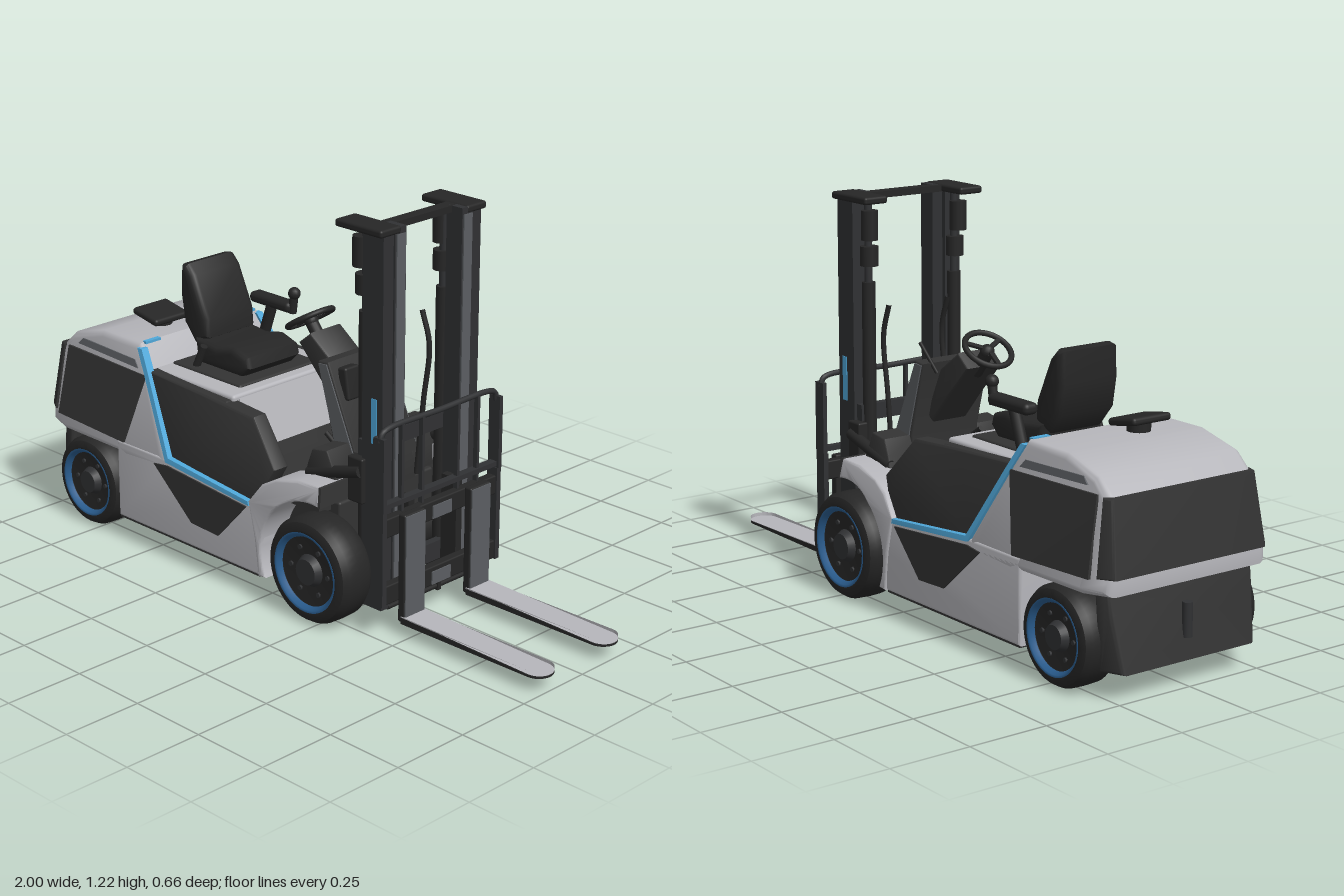
import * as THREE from 'three';
import { toCreasedNormals } from 'three/addons/utils/BufferGeometryUtils.js';
import { RoundedBoxGeometry } from 'three/addons/geometries/RoundedBoxGeometry.js';

const mat = (name, color) => {
  const m = new THREE.MeshStandardMaterial({ color });
  m.name = name;
  return m;
};

export function createModel() {
  const root = new THREE.Group();
  root.name = 'forklift';
  const paint = mat('light grey paint', 0xb6b6bb);
  const panel = mat('dark panel', 0x333333);
  const black = mat('black', 0x262626);
  const mastGrey = mat('mast grey', 0x303133);
  const trim = mat('blue trim', 0x4fa8da);
  const rimBlue = mat('blue rim ring', 0x2b5f92);
  rimBlue.side = THREE.DoubleSide;
  const midGrey = mat('mid grey', 0x5b5e62);

  const add = (name, geo, m, x = 0, y = 0, z = 0, parent = root) => {
    const mesh = new THREE.Mesh(geo, m);
    mesh.name = name;
    mesh.position.set(x, y, z);
    parent.add(mesh);
    return mesh;
  };
  // Box given by its limits in x, y and z
  const box = (name, m, x0, x1, y0, y1, z0, z1, r = 0) => {
    const s = [x1 - x0, y1 - y0, z1 - z0];
    const geo = r ? new RoundedBoxGeometry(...s, 3, r) : new THREE.BoxGeometry(...s);
    return add(name, geo, m, (x0 + x1) / 2, (y0 + y1) / 2, (z0 + z1) / 2);
  };
  const rod = (name, m, a, b, r) => {
    const p = new THREE.Vector3(...a), q = new THREE.Vector3(...b);
    const mesh = add(name, new THREE.CylinderGeometry(r, r, p.distanceTo(q), 14), m);
    mesh.position.copy(p).add(q).multiplyScalar(0.5);
    mesh.quaternion.setFromUnitVectors(new THREE.Vector3(0, 1, 0), q.sub(p).normalize());
  };
  const tube = (name, m, pts, r, n = 32) => add(name, new THREE.TubeGeometry(
    new THREE.CatmullRomCurve3(pts.map(p => new THREE.Vector3(...p)), false, 'centripetal'), n, r, 8), m);
  const outline = pts => new THREE.Shape(pts.map(p => new THREE.Vector2(...p)));

  // Body width narrows above the waist and round the rear corners
  const narrow = (x, y) => {
    const rear = Math.max(0, (-0.9 - x) / 0.1);
    return (1 - Math.max(0, y - 0.33) * 0.62) * (1 - 0.13 * rear * rear);
  };
  // Side outline extruded across z, with rounded edges inside the given limits
  const slab = (name, m, shape, z0, z1, bevel = 0, tapered = true) => {
    let geo = new THREE.ExtrudeGeometry(Array.isArray(shape) ? outline(shape) : shape, {
      depth: z1 - z0 - 2 * bevel, bevelEnabled: bevel > 0, bevelSize: bevel,
      bevelThickness: bevel, bevelOffset: -bevel, bevelSegments: 4, curveSegments: 24,
    });
    geo.translate(0, 0, z0 + bevel);
    const p = geo.attributes.position;
    if (tapered) for (let i = 0; i < p.count; i++) p.setZ(i, p.getZ(i) * narrow(p.getX(i), p.getY(i)));
    geo = toCreasedNormals(geo, 0.65);
    return add(name, geo, m);
  };
  const bothSides = (name, m, shape, zIn, zOut, bevel = 0) => {
    slab(name + 'Left', m, shape, zIn, zOut, bevel);
    slab(name + 'Right', m, shape, -zOut, -zIn, bevel);
  };

  // Counterweight, its dark panels and the lower body
  slab('counterweight', paint, [[-0.988, 0.3], [-0.992, 0.34], [-0.957, 0.56], [-0.9, 0.612], [-0.765, 0.65],
    [-0.59, 0.65], [-0.545, 0.58], [-0.402, 0.33], [-0.42, 0.29], [-0.6, 0.28], [-0.64, 0.295], [-0.9, 0.297]],
    -0.31, 0.31, 0.02);
  slab('rearPanel', panel, [[-1, 0.35], [-0.966, 0.565], [-0.935, 0.565], [-0.953, 0.35]], -0.316, 0.316, 0.006);
  bothSides('rearSidePanel', panel, [[-0.93, 0.345], [-0.915, 0.568], [-0.54, 0.56], [-0.605, 0.335]], 0.305, 0.3145);
  bothSides('topStrip', midGrey, [[-0.87, 0.585], [-0.85, 0.605], [-0.6, 0.598], [-0.58, 0.575]], 0.305, 0.3135);
  slab('lowerBody', paint, [[-0.64, 0.078], [0.005, 0.078], [0.02, 0.2], [0.02, 0.29], [-0.035, 0.302],
    [-0.4, 0.336], [-0.64, 0.335]], -0.31, 0.31, 0.01);
  box('underside', panel, -0.637, 0.002, 0.073, 0.082, -0.305, 0.305);
  slab('rearChassis', panel, [[-0.98, 0.078], [-0.6, 0.078], [-0.6, 0.31], [-0.94, 0.31], [-0.955, 0.26]],
    -0.18, 0.18, 0.01, false);
  slab('rearBumper', panel, [[-1, 0.078], [-0.93, 0.078], [-0.91, 0.305], [-0.955, 0.305], [-0.968, 0.24]],
    -0.27, 0.27, 0.01);
  rod('towPin', mastGrey, [-0.985, 0.14, 0], [-0.985, 0.24, 0], 0.015);

  // Recessed hood and footwell sides, edged by a blue ledge
  slab('hood', panel, [[-0.56, 0.572], [-0.2, 0.562], [-0.13, 0.35], [-0.2, 0.31], [-0.39, 0.315]], -0.29, 0.29, 0.012);
  bothSides('footwellSide', panel, [[-0.57, 0.575], [-0.3, 0.565], [-0.07, 0.55], [0.045, 0.42], [0.02, 0.37],
    [-0.03, 0.29], [-0.395, 0.31]], 0.235, 0.299, 0.008);
  bothSides('lowerPanel', panel, [[-0.46, 0.308], [-0.4, 0.316], [-0.045, 0.288], [-0.17, 0.155], [-0.29, 0.16]],
    0.306, 0.315);
  bothSides('blueStripe', trim, [[-0.592, 0.637], [-0.571, 0.637], [-0.52, 0.555], [-0.394, 0.342], [-0.035, 0.309],
    [-0.033, 0.295], [-0.405, 0.327], [-0.545, 0.562]], 0.285, 0.316);
  for (const s of [-1, 1]) add('blueStripeTop', new THREE.BoxGeometry(0.016, 0.008, 0.06), trim, -0.587, 0.649, s * 0.2);
  box('hoodCover', paint, -0.56, -0.19, 0.55, 0.575, -0.225, 0.225, 0.01);
  box('seatPlate', panel, -0.54, -0.23, 0.56, 0.582, -0.17, 0.16, 0.008);
  const front = box('hoodFront', paint, -0.18, -0.165, 0.4, 0.565, -0.2, 0.2);
  front.rotation.z = 0.3;
  box('floor', panel, -0.16, 0.2, 0.32, 0.36, -0.25, 0.25);

  // Front fenders with round wheel arches and dark front caps
  const fender = outline([[0.005, 0.078], [-0.01, 0.2], [-0.035, 0.31], [0.015, 0.375], [0.07, 0.405],
    [0.16, 0.427], [0.25, 0.43], [0.255, 0.375]]);
  fender.absarc(0.22, 0.17, 0.203, 1.4, Math.PI + 0.45, false);
  bothSides('fender', paint, fender, 0.2, 0.316, 0.008);
  bothSides('fenderCap', panel, [[0.246, 0.431], [0.256, 0.431], [0.262, 0.372], [0.252, 0.372]], 0.2, 0.316);
  box('frontChassis', panel, 0, 0.235, 0.076, 0.35, -0.2, 0.2, 0.008);

  // Cowl, dashboard and steering
  slab('cowl', panel, [[0.07, 0.73], [0.11, 0.735], [0.24, 0.44], [0.235, 0.34], [0.12, 0.34], [0.13, 0.5]],
    -0.125, 0.125, 0.006, false);
  for (const s of [-1, 1]) {
    const a = s * 0.16, e = s * 0.125;
    slab('cowlEdge', midGrey, [[0.075, 0.725], [0.107, 0.728], [0.23, 0.45], [0.15, 0.45], [0.135, 0.52]],
      e - 0.004, e + 0.004, 0, false);
    slab('cowlSide', panel, [[0.14, 0.5], [0.2, 0.51], [0.24, 0.43], [0.235, 0.36], [0.1, 0.36], [0.12, 0.45]],
      a - 0.06, a + 0.06, 0.006, false);
    box('cowlSeam', black, 0.235, 0.242, 0.34, 0.44, s * 0.04 - 0.003, s * 0.04 + 0.003);
  }
  slab('dashboard', panel, [[-0.08, 0.735], [-0.03, 0.775], [0.06, 0.71], [0.13, 0.56], [0.1, 0.54], [0.02, 0.63]],
    -0.07, 0.06, 0.008, false);
  const screen = box('display', black, 0.13, 0.165, 0.62, 0.72, 0.04, 0.1, 0.008);
  screen.rotation.z = 0.15;
  rod('directionLever', black, [0.06, 0.7, -0.08], [0.105, 0.79, -0.11], 0.006);
  rod('pedalArm', black, [0.14, 0.46, 0.1], [0.08, 0.5, 0.1], 0.008);
  const steering = new THREE.Group();
  steering.name = 'steeringWheel';
  steering.position.set(-0.1, 0.79, -0.01);
  steering.quaternion.setFromUnitVectors(new THREE.Vector3(0, 0, 1), new THREE.Vector3(-0.54, 0.84, 0).normalize());
  root.add(steering);
  add('rim', new THREE.TorusGeometry(0.073, 0.009, 10, 36), black, 0, 0, 0, steering);
  add('hub', new THREE.SphereGeometry(0.022, 16, 10), black, 0, 0, -0.008, steering);
  for (let i = 0; i < 3; i++) {
    const spoke = add('spoke', new THREE.BoxGeometry(0.014, 0.07, 0.008), black, 0, 0, 0, steering);
    spoke.rotation.z = i * Math.PI * 2 / 3;
    spoke.translateY(0.036);
  }
  rod('steeringColumn', black, [-0.1, 0.785, -0.01], [-0.04, 0.71, -0.01], 0.02);

  // Seat with side armrest and control lever
  slab('seatCushion', black, [[-0.49, 0.575], [-0.29, 0.575], [-0.255, 0.61], [-0.265, 0.645], [-0.33, 0.665],
    [-0.4, 0.65], [-0.5, 0.66]], -0.125, 0.105, 0.022, false);
  slab('seatBack', black, [[-0.57, 0.875], [-0.545, 0.88], [-0.515, 0.85], [-0.455, 0.72], [-0.45, 0.66],
    [-0.51, 0.63], [-0.56, 0.69], [-0.575, 0.78]], -0.115, 0.095, 0.022, false);
  box('seatRail', black, -0.48, -0.3, 0.565, 0.6, -0.1, 0.08);
  box('armrest', black, -0.54, -0.36, 0.7, 0.735, -0.215, -0.165, 0.015);
  rod('armrestPost', black, [-0.5, 0.57, -0.185], [-0.45, 0.71, -0.185], 0.018);
  rod('controlLever', black, [-0.365, 0.7, -0.19], [-0.355, 0.765, -0.19], 0.014);
  add('leverKnob', new THREE.SphereGeometry(0.02, 14, 10), black, -0.355, 0.765, -0.19);
  rod('seatBeltStalk', black, [-0.46, 0.58, 0.13], [-0.43, 0.65, 0.125], 0.012);
  const cap = box('rearCover', black, -0.75, -0.635, 0.672, 0.695, 0, 0.14, 0.01);
  cap.rotation.z = -0.18;
  rod('rearCoverPost', black, [-0.69, 0.63, 0.07], [-0.69, 0.685, 0.07], 0.035);

  // Wheels: tyre, dished rim, blue ring and hub
  const wheel = (name, x, z, r, width, side) => {
    const g = new THREE.Group();
    g.name = name;
    g.position.set(x, r, z);
    g.rotation.x = side * Math.PI / 2;
    root.add(g);
    const h = width / 2;
    const tyre = [[0, -h], [0.72, -h], [0.92, -h * 0.88], [0.99, -h * 0.6], [1, 0], [0.99, h * 0.6],
      [0.92, h * 0.88], [0.8, h], [0.75, h * 0.98], [0.66, h * 0.72], [0.3, h * 0.62], [0, h * 0.62]];
    const profile = tyre.map(p => new THREE.Vector2(p[0] * r, p[1]));
    add('tyre', toCreasedNormals(new THREE.LatheGeometry(profile, 48), 0.6), black, 0, 0, 0, g);
    const band = [[0.65, 0.8], [0.71, 0.99], [0.755, 1.02], [0.75, 0.99], [0.66, 0.74]];
    const lip = band.map(p => new THREE.Vector2(p[0] * r, p[1] * h));
    add('ring', new THREE.LatheGeometry(lip, 48), rimBlue, 0, 0, 0, g);
    add('hub', new THREE.CylinderGeometry(r * 0.24, r * 0.32, h * 0.4, 24), mastGrey, 0, h * 0.75, 0, g);
    for (let i = 0; i < 6; i++) {
      const a = i * Math.PI / 3;
      add('wheelNut', new THREE.CylinderGeometry(r * 0.05, r * 0.05, 0.012, 6), mastGrey,
        Math.cos(a) * r * 0.46, h * 0.66, Math.sin(a) * r * 0.46, g);
    }
  };
  for (const s of [-1, 1]) {
    wheel('frontWheel', 0.22, s * 0.265, 0.165, 0.13, s);
    wheel('rearWheel', -0.79, s * 0.25, 0.147, 0.13, s);
  }
  rod('frontAxle', black, [0.22, 0.165, -0.22], [0.22, 0.165, 0.22], 0.06);

  // Mast: channel rails, inner rails, lift cylinders and cross members
  for (const s of [-1, 1]) {
    const zBox = (name, m, x0, x1, y0, y1, a, b, r) =>
      box(name, m, x0, x1, y0, y1, Math.min(s * a, s * b), Math.max(s * a, s * b), r);
    zBox('outerRailWeb', mastGrey, 0.325, 0.4, 0.06, 1.2, 0.18, 0.2);
    zBox('outerRailRear', mastGrey, 0.325, 0.34, 0.06, 1.2, 0.145, 0.19);
    zBox('outerRailFront', mastGrey, 0.39, 0.405, 0.06, 1.2, 0.16, 0.2);
    zBox('innerRail', mastGrey, 0.35, 0.41, 0.08, 1.215, 0.115, 0.16);
    zBox('innerRailFace', midGrey, 0.409, 0.414, 0.08, 1.195, 0.12, 0.155);
    zBox('mastTopPlate', black, 0.23, 0.412, 1.195, 1.218, 0.135, 0.218, 0.008);
    zBox('mastLabel', trim, 0.362, 0.384, 0.575, 0.712, 0.197, 0.202);
    rod('liftCylinder', black, [0.3, 0.12, s * 0.16], [0.3, 0.95, s * 0.16], 0.021);
    rod('liftPiston', mastGrey, [0.3, 0.95, s * 0.16], [0.3, 1.2, s * 0.16], 0.012);
    rod('cylinderCollar', black, [0.295, 1, s * 0.16], [0.295, 1.06, s * 0.16], 0.028);
    rod('cylinderHead', black, [0.285, 1.08, s * 0.165], [0.285, 1.17, s * 0.165], 0.026);
    rod('tiltCylinder', black, [0.12, 0.42, s * 0.21], [0.33, 0.48, s * 0.21], 0.018);
    zBox('mastBracket', black, 0.28, 0.34, 0.38, 0.52, 0.18, 0.215, 0.006);
    tube('hose', black, [[0.25, 0.36, s * 0.11], [0.275, 0.6, s * 0.11], [0.295, 0.78, s * 0.11],
      [0.265, 0.88, s * 0.11]], 0.008);

    // Carriage sides and dark forks with bright upper faces
    zBox('carriageSide', mastGrey, 0.42, 0.46, 0.105, 0.4, 0.235, 0.252);
    zBox('backrestPost', mastGrey, 0.42, 0.462, 0.4, 0.625, 0.238, 0.252);
    zBox('backrestBar', mastGrey, 0.435, 0.45, 0.38, 0.645, 0.07, 0.08);
    zBox('backrestBar', mastGrey, 0.435, 0.45, 0.38, 0.645, 0.155, 0.165);
    zBox('carriageRoller', black, 0.37, 0.43, 0.12, 0.4, 0.09, 0.115);
    zBox('forkShank', black, 0.455, 0.482, 0.04, 0.38, 0.097, 0.183, 0.006);
    zBox('forkShankFace', midGrey, 0.48, 0.485, 0.055, 0.376, 0.1, 0.18);
    const tine = new THREE.Shape();
    tine.moveTo(0.47, -0.045).lineTo(0.955, -0.045);
    tine.absellipse(0.955, 0, 0.045, 0.045, -Math.PI / 2, Math.PI / 2, false);
    tine.lineTo(0.47, 0.045);
    const layer = (name, m, top, bottom) => {
      const geo = new THREE.ExtrudeGeometry(tine, { depth: 0.022, bevelEnabled: false, curveSegments: 16 });
      geo.rotateX(Math.PI / 2);
      const p = geo.attributes.position;
      for (let i = 0; i < p.count; i++) {
        const t = (p.getX(i) - 0.46) / 0.54;
        p.setY(i, p.getY(i) < -0.01 ? bottom + t * 0.006 : top - t * 0.01);
      }
      add(name, toCreasedNormals(geo, 0.6), m, 0, 0, s * 0.14);
    };
    layer('forkTine', black, 0.058, 0.037);
    layer('forkTineTop', paint, 0.0605, 0.056);
  }
  box('mastTopBar', black, 0.33, 0.37, 1.195, 1.215, -0.2, 0.2);
  box('mastUpperTie', mastGrey, 0.3, 0.325, 0.52, 0.57, -0.19, 0.19);
  box('mastLowerTie', mastGrey, 0.305, 0.33, 0.1, 0.16, -0.19, 0.19);
  for (const y of [0.13, 0.34]) {
    box('carriagePlate', black, 0.425, 0.455, y - 0.025, y + 0.035, -0.25, 0.25, 0.005);
    box('carriageCatch', midGrey, 0.45, 0.459, y - 0.02, y + 0.02, -0.04, 0.04);
  }
  box('carriageTopRail', mastGrey, 0.43, 0.455, 0.405, 0.42, -0.25, 0.25);
  tube('backrestTop', mastGrey, [[0.441, 0.61, -0.245], [0.441, 0.635, -0.238], [0.441, 0.645, -0.215], [0.441, 0.645, 0],
    [0.441, 0.645, 0.215], [0.441, 0.635, 0.238], [0.441, 0.61, 0.245]], 0.009, 48);
  rod('lowerTieRod', black, [0.4, 0.062, -0.17], [0.4, 0.062, 0.17], 0.008);
  for (const z of [-0.045, 0.045]) box('lowerLug', black, 0.39, 0.41, 0.05, 0.11, z - 0.007, z + 0.007);
  return root;
}
